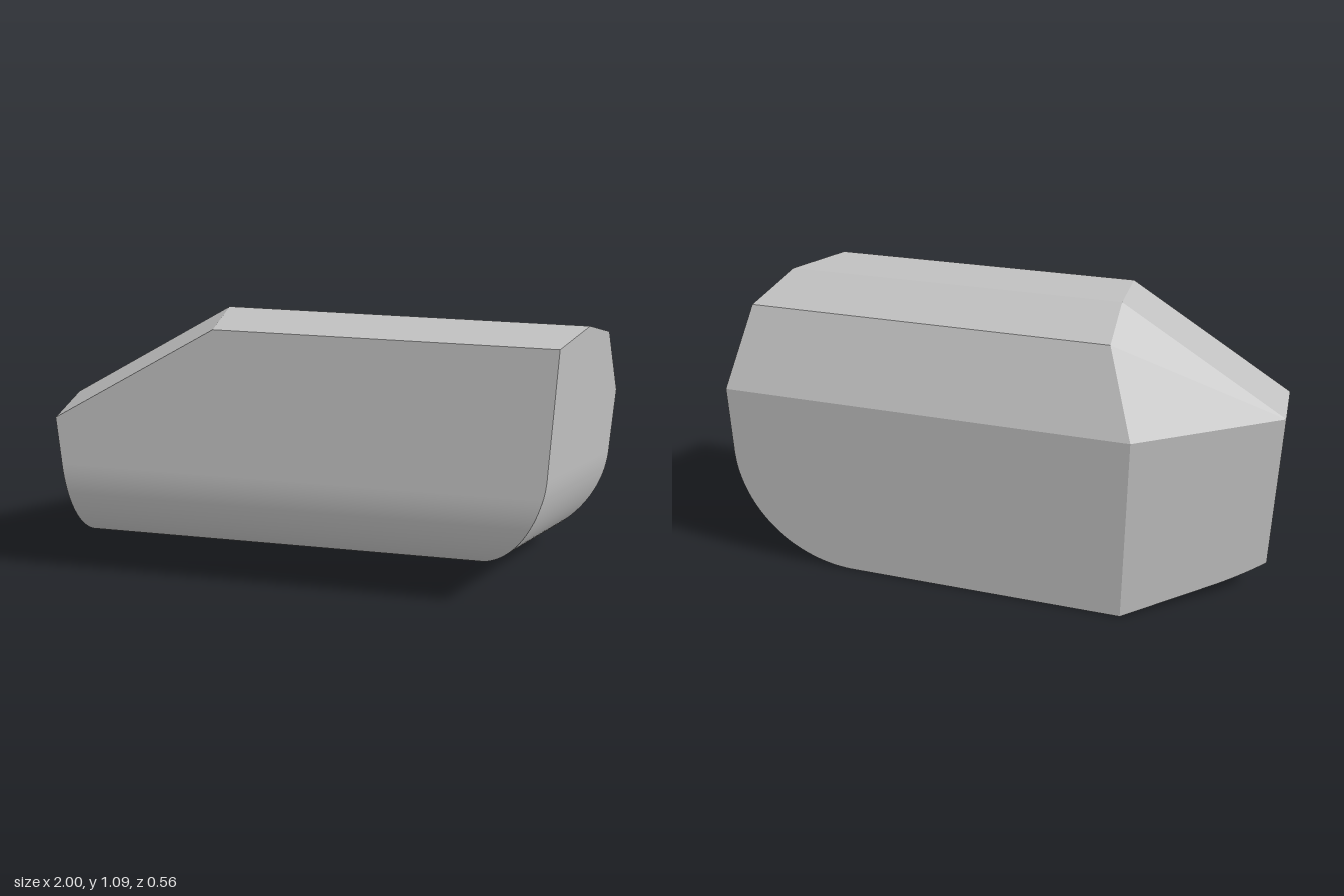
import * as THREE from 'three';
import { toCreasedNormals } from 'three/addons/utils/BufferGeometryUtils.js';

const FRONT = 0.28, BACK = -0.28;
const TILT = THREE.MathUtils.degToRad(15); // slope of the underside
const R = 0.49, CZ = FRONT - R, CY = 0.528; // rounding along the lower front
const ER = 0.46; // rounding of the slanted end
const CUT_Z = 0.05; // where the back corner cut begins

const leftX = (z) => (z >= CUT_Z ? -1 : -1 + ((CUT_Z - z) / (CUT_Z - BACK)) * 0.49);
const P = (x, y, z) => new THREE.Vector3(x, y, z);

// Angle on the end rounding whose ruling meets the front rounding at angle phi
const endAngle = (phi) => Math.asin(1 - (R * (1 - Math.cos(phi))) / Math.cos(TILT) / ER);

export function createModel() {
  const positions = [];
  const inside = P(0, 0.5, 0);

  // Convex face as a fan, turned to point outwards
  function face(points) {
    for (let i = 1; i < points.length - 1; i++) {
      const tri = new THREE.Triangle(points[0], points[i], points[i + 1]);
      if (tri.getArea() < 1e-9) continue;
      const outward = tri.getNormal(P(0, 0, 0)).dot(points[0].clone().sub(inside)) > 0;
      const order = outward ? [tri.a, tri.b, tri.c] : [tri.a, tri.c, tri.b];
      order.forEach((p) => positions.push(p.x, p.y, p.z));
    }
  }
  function strip(a, b) {
    for (let i = 0; i < a.length - 1; i++) face([a[i], a[i + 1], b[i + 1], b[i]]);
  }

  // Angles round the end, including the exact joins
  const joinFlat = endAngle(Math.PI / 2 - TILT);
  const joinCut = endAngle(Math.asin((CUT_Z - CZ) / R) - TILT);
  const angles = [joinFlat, joinCut];
  for (let i = 0; i <= 40; i++) angles.push((i / 40) * Math.PI / 2);
  angles.sort((a, b) => a - b);

  // Back edge of the end rounding, and the seam where it meets the front
  const backArc = [], seam = [];
  for (const a of angles) {
    const x = 1 - ER + ER * Math.cos(a);
    const y = ER * (1 - Math.sin(a));
    backArc.push(P(x, y, BACK));
    let z = FRONT, sy = y + (FRONT - BACK) * Math.tan(TILT);
    if (a >= joinFlat) {
      const phi = Math.acos(THREE.MathUtils.clamp(1 - (y * Math.cos(TILT)) / R, -1, 1));
      z = CZ + R * Math.sin(TILT + phi);
      sy = CY - R * Math.cos(TILT + phi);
    }
    seam.push(P(x - 0.255 * (z - BACK) / (FRONT - BACK), sy, z));
  }
  const k = angles.indexOf(joinFlat), c = angles.indexOf(joinCut);
  const lower = seam.slice(k);
  const leftEdge = lower.map((p) => P(leftX(p.z), p.y, p.z));
  const last = lower.length - 1;

  // Upper corners
  const endX = (z) => 1 - 0.255 * (z - BACK) / (FRONT - BACK);
  const ridge = [[1.09, FRONT], [1.09, CUT_Z], [1.005, -0.135], [0.72, BACK]];
  const rightTop = ridge.map(([y, z]) => P(endX(z), y, z));
  const leftTop = ridge.map(([y, z], i) => P(i === 3 ? -0.51 : -0.4, y, z));
  const sideFront = P(-1, 0.72, FRONT), sideBack = P(-1, 0.72, CUT_Z);
  const cornerLow = P(-0.51, 0, BACK);

  // Top and back bevels, sloping shoulder
  strip(leftTop, rightTop);
  face([leftTop[0], leftTop[1], sideBack, sideFront]);
  face([leftTop[1], leftTop[2], sideBack]);
  face([leftTop[2], leftTop[3], sideBack]);

  // Front, back and side walls
  face([sideFront, leftTop[0], rightTop[0], ...seam.slice(0, k + 1), leftEdge[0]]);
  face([cornerLow, leftTop[3], rightTop[3], ...backArc]);
  face([sideBack, sideFront, ...leftEdge.slice(0, c - k + 1)]);
  face([leftTop[3], sideBack, ...leftEdge.slice(c - k), cornerLow]);
  face([...rightTop, backArc[0], seam[0]]);

  // Rounded lower front, flat underside, rounded end
  strip(leftEdge, lower);
  face([leftEdge[last], lower[last], backArc[backArc.length - 1], cornerLow]);
  strip(backArc, seam);

  const geometry = new THREE.BufferGeometry();
  geometry.setAttribute('position', new THREE.Float32BufferAttribute(positions, 3));
  const grey = new THREE.MeshStandardMaterial({ color: 0xbfbfbf });
  grey.name = 'grey';
  const body = new THREE.Mesh(toCreasedNormals(geometry, 0.2), grey);
  body.name = 'bevelledBody';

  const group = new THREE.Group();
  group.name = 'bevelledBlock';
  group.add(body);
  return group;
}
